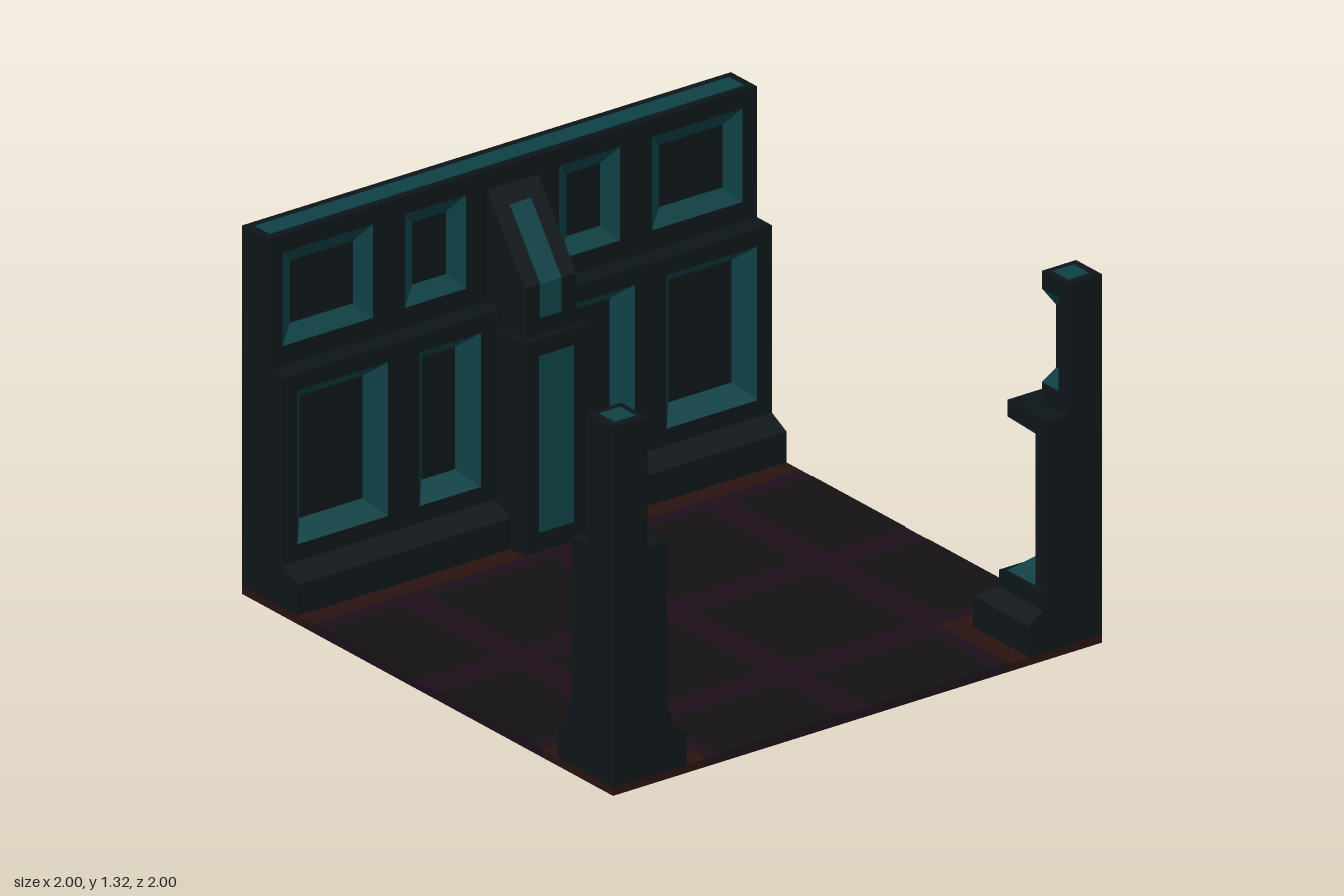
import * as THREE from 'three';

const mat = (color) => new THREE.MeshStandardMaterial({ color });
const stone = mat(0x0e1519), teal = mat(0x0e4045), purple = mat(0x1c0f1a);
const slate = mat(0x141113), rust = mat(0x28130f);

function add(parent, name, geometry, material) {
  const mesh = new THREE.Mesh(geometry, material);
  mesh.name = name;
  parent.add(mesh);
  return mesh;
}

// Box given by its minimum and maximum corners
function box(parent, name, material, [x0, y0, z0], [x1, y1, z1]) {
  const g = new THREE.BoxGeometry(x1 - x0, y1 - y0, z1 - z0);
  g.translate((x0 + x1) / 2, (y0 + y1) / 2, (z0 + z1) / 2);
  return add(parent, name, g, material);
}

const outline = (pts) => new THREE.Shape(pts.map(([x, y]) => new THREE.Vector2(x, y)));
const rect = (x0, y0, x1, y1) => [[x0, y0], [x1, y0], [x1, y1], [x0, y1]];

// Profile in x, y swept along z, centred on z = 0
function sweep(parent, name, material, pts, width) {
  const g = new THREE.ExtrudeGeometry(outline(pts), { depth: width, bevelEnabled: false });
  return add(parent, name, g.translate(0, 0, -width / 2), material);
}

// Flat-shaded surface from a list of four-cornered faces
function quads(list) {
  const pos = list.flatMap(([a, b, c, d]) => [a, b, c, a, c, d].flat());
  const g = new THREE.BufferGeometry();
  g.setAttribute('position', new THREE.Float32BufferAttribute(pos, 3));
  g.computeVertexNormals();
  return g;
}

// Wall facing with sunken panels and sloping teal surrounds
function facing(parent, name, y0, y1, p0, p1, x, depth) {
  const group = new THREE.Group();
  group.name = name;
  const shape = outline(rect(-1, y0, 1, y1));
  const spans = [[-0.94, -0.57], [-0.44, -0.19], [0.19, 0.44], [0.57, 0.94]];
  const bevels = [], w = 0.056;
  for (const [u0, u1] of spans) {
    shape.holes.push(outline(rect(u0, p0, u1, p1).reverse()));
    const outer = rect(u0, p0, u1, p1).map(([u, v]) => [u, v, depth]);
    const inner = rect(u0 + w, p0 + w, u1 - w, p1 - w).map(([u, v]) => [u, v, 0.001]);
    for (let i = 0; i < 4; i++) {
      const j = (i + 1) % 4;
      bevels.push([outer[i], outer[j], inner[j], inner[i]]);
    }
  }
  add(group, 'panelledFace', new THREE.ExtrudeGeometry(shape, { depth, bevelEnabled: false }), stone);
  add(group, 'panelSurrounds', quads(bevels), teal);
  group.rotation.y = Math.PI / 2;
  group.position.x = x - depth;
  parent.add(group);
}

// Corner pillar lofted through levels [y, face, panelEdge, sunkenFace, innerEdge]
function pillar(parent, name, angle) {
  const levels = [
    [0.03, 0.70, 0.93], [0.14, 0.70, 0.93], [0.18, 0.76, 0.93], [0.24, 0.76, 0.93],
    [0.24, 0.78, 0.93], [0.296, 0.78, 0.93, 0.845, 0.875],
    [0.734, 0.78, 0.93, 0.845, 0.875], [0.79, 0.78, 0.93],
    [0.85, 0.78, 0.93], [0.85, 0.86, 0.95], [0.92, 0.86, 0.95],
    [0.975, 0.86, 0.95, 0.893, 0.92], [1.20, 0.86, 0.95, 0.893, 0.92],
    [1.255, 0.86, 0.95], [1.318, 0.86, 0.95], [1.318, 1, 1],
  ];
  const rings = levels.map(([y, c, e, q = c, f = e]) =>
    [[c, 1], [c, e], [q, f], [q, q], [f, q], [e, c], [1, c], [1, 1]].map(([x, z]) => [x, y, z]));
  const body = [], trim = [];
  for (let i = 0; i + 1 < rings.length; i++) {
    const open = [levels[i], levels[i + 1]].filter((l) => l.length > 3).length;
    for (let j = 0; j < 8; j++) {
      const k = (j + 1) % 8;
      const isTrim = open === 2 ? j === 1 || j === 4 : open === 1 && j >= 1 && j <= 4;
      (isTrim ? trim : body).push([rings[i][j], rings[i + 1][j], rings[i + 1][k], rings[i][k]]);
    }
  }
  const group = new THREE.Group();
  group.name = name;
  add(group, 'pillarBody', quads(body), stone);
  add(group, 'pillarPanelSurround', quads(trim), teal);
  box(group, 'pillarTopInlay', teal, [0.885, 1.31, 0.885], [0.97, 1.32, 0.97]);
  group.rotation.y = angle;
  parent.add(group);
}

export function createModel() {
  const model = new THREE.Group();
  model.name = 'roomSection';

  // Floor slab with rust-coloured borders under the wall and pillars
  const floor = sweep(model, 'floor', purple,
    [[-0.62, -1], [0.62, -1], [0.62, -0.62], [1, -0.62], [1, 0.62], [0.62, 0.62], [0.62, 1], [-0.62, 1]], 0.03);
  floor.rotation.x = -Math.PI / 2;
  floor.position.y = 0.015;
  box(model, 'wallBorder', rust, [-1, 0, -1], [-0.62, 0.03, 1]);
  box(model, 'leftPillarBorder', rust, [0.62, 0, 0.62], [1, 0.03, 1]);
  box(model, 'backPillarBorder', rust, [0.62, 0, -1], [1, 0.03, -0.62]);

  // Floor tiles
  const spans = [[-1, -0.68], [-0.56, -0.06], [0.06, 0.56], [0.68, 1]];
  spans.forEach(([x0, x1], i) => spans.forEach(([z0, z1], j) => {
    if (i === 0 || (i === 3 && (j === 0 || j === 3))) return;
    box(model, 'floorTile', slate, [x0, 0.025, z0], [x1, 0.032, z1]);
  }));

  // Wall core, base moulding and two panelled tiers
  sweep(model, 'wallCore', stone,
    [[-1, 0.03], [-0.845, 0.03], [-0.845, 0.85], [-0.895, 0.85], [-0.895, 1.318], [-1, 1.318]], 2);
  sweep(model, 'wallBase', stone,
    [[-0.845, 0.03], [-0.70, 0.03], [-0.70, 0.14], [-0.78, 0.18], [-0.845, 0.18]], 2);
  facing(model, 'lowerWallTier', 0.18, 0.85, 0.24, 0.79, -0.78, 0.065);
  facing(model, 'upperWallTier', 0.85, 1.318, 0.92, 1.255, -0.86, 0.035);
  box(model, 'wallTopInlay', teal, [-0.97, 1.31, -0.97], [-0.89, 1.32, 0.97]);

  // Central buttress with teal inlays
  box(model, 'buttressBase', stone, [-0.84, 0.03, -0.13], [-0.625, 0.79, 0.13]);
  box(model, 'buttressBaseInlay', teal, [-0.63, 0.10, -0.07], [-0.621, 0.73, 0.07]);
  sweep(model, 'buttressTop', stone,
    [[-0.88, 0.79], [-0.655, 0.79], [-0.655, 0.97], [-0.86, 1.25], [-0.88, 1.25]], 0.21);
  sweep(model, 'buttressTopInlay', teal,
    [[-0.66, 0.85], [-0.651, 0.85], [-0.651, 0.972], [-0.816, 1.198], [-0.825, 1.19], [-0.66, 0.968]], 0.085);

  // Corner pillars
  pillar(model, 'frontPillar', 0);
  pillar(model, 'backPillar', Math.PI / 2);
  return model;
}
